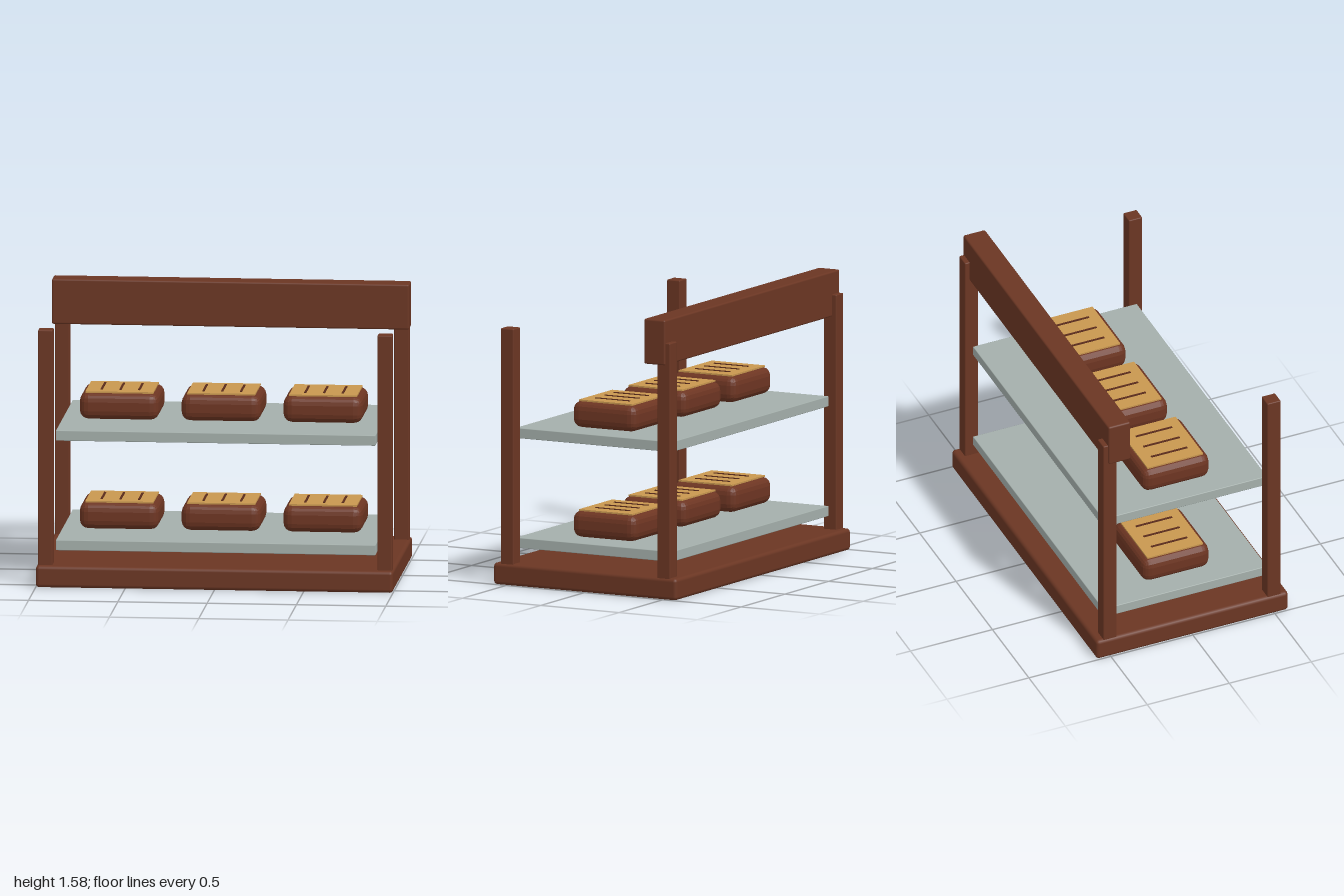
import * as THREE from 'three';
import { RoundedBoxGeometry } from 'three/addons/geometries/RoundedBoxGeometry.js';

const material = (name, color, flatShading = false) => {
  const m = new THREE.MeshStandardMaterial({ color, flatShading });
  m.name = name;
  return m;
};

export function createModel() {
  const wood = material('wood', 0x6b3623);
  const glass = material('shelfGrey', 0xa4afab);
  const crust = material('crust', 0x6d3522, true);
  const golden = material('goldenTop', 0xc8974f);
  const dark = material('scoreBrown', 0x5a2b1b);

  const model = new THREE.Group();
  model.name = 'breadRack';

  // Box by size and centre, with an optional rounded edge
  function box(parent, name, mat, size, pos, radius = 0, segments = 2) {
    const geo = radius
      ? new RoundedBoxGeometry(...size, segments, radius)
      : new THREE.BoxGeometry(...size);
    const mesh = new THREE.Mesh(geo, mat);
    mesh.name = name;
    mesh.position.set(...pos);
    parent.add(mesh);
  }

  // Frame: base, four posts and the header board at the back
  box(model, 'base', wood, [2, 0.122, 1.17], [0, 0.063, 0], 0.02);
  for (const x of [-0.95, 0.95]) {
    for (const z of [-0.5, 0.5]) {
      const name = (z > 0 ? 'front' : 'back') + (x > 0 ? 'Left' : 'Right') + 'Post';
      box(model, name, wood, [0.082, 1.35, 0.082], [x, 0.776, z], 0.006);
    }
  }
  box(model, 'headerBoard', wood, [2, 0.255, 0.134], [0, 1.453, -0.446], 0.01);

  // Loaf with a golden top and three score marks, standing on y = 0
  function loaf(name) {
    const group = new THREE.Group();
    group.name = name;
    box(group, 'loafBody', crust, [0.445, 0.15, 0.41], [0, 0.083, 0], 0.05);
    box(group, 'loafTop', golden, [0.38, 0.009, 0.34], [0, 0.1605, 0]);
    for (const x of [-0.105, 0, 0.105]) {
      box(group, 'scoreMark', dark, [0.012, 0.007, 0.22], [x, 0.1655, 0]);
    }
    return group;
  }

  // Two shelves with three loaves each
  [['lower', 0.2], ['upper', 0.82]].forEach(([level, y]) => {
    box(model, level + 'Shelf', glass, [1.79, 0.058, 1], [0, y + 0.029, 0], 0.004, 1);
    [-0.57, 0, 0.57].forEach((x, i) => {
      const bread = loaf(level + 'Loaf' + (i + 1));
      bread.position.set(x, y + 0.06, 0);
      model.add(bread);
    });
  });

  return model;
}
